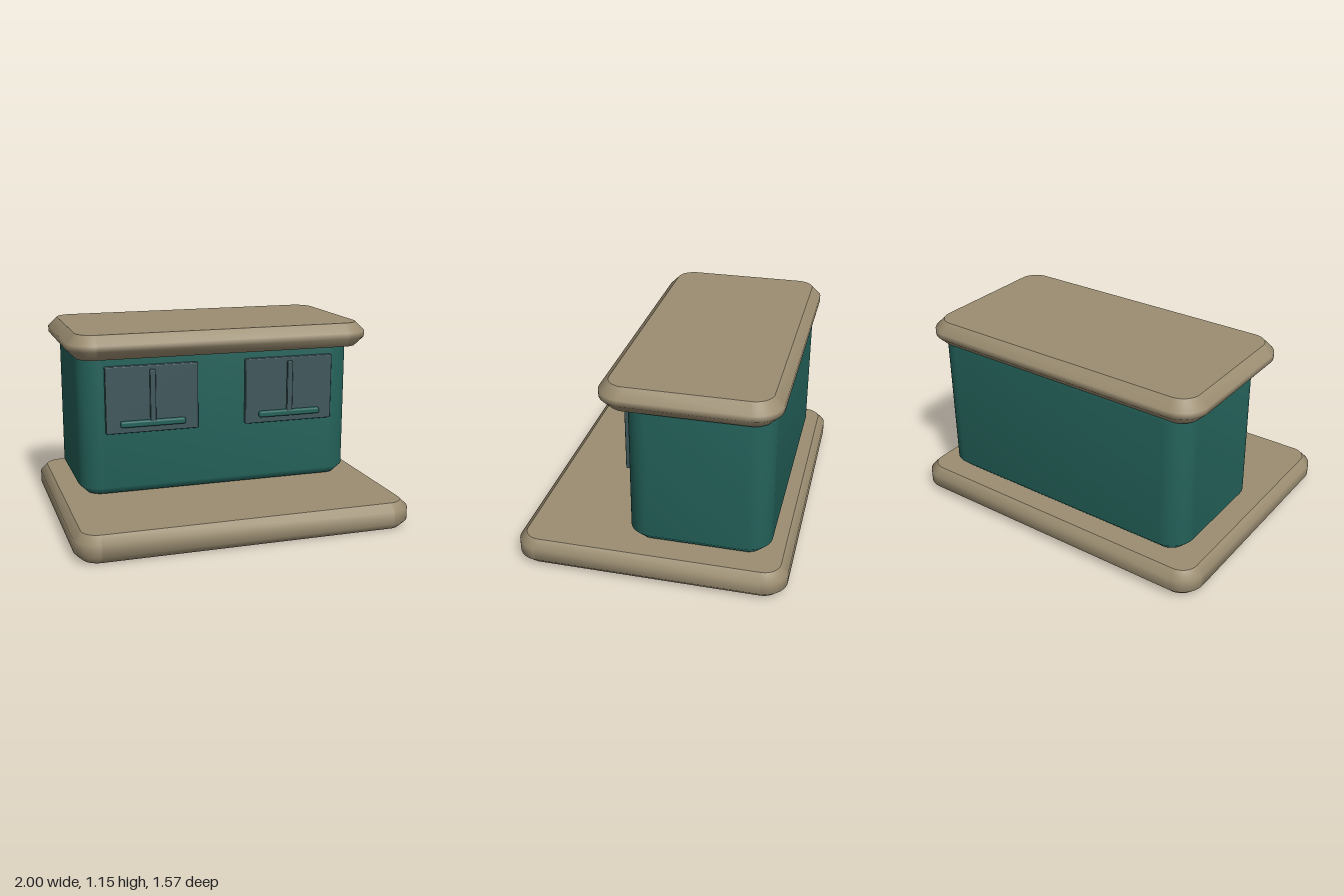
import * as THREE from 'three';
import { mergeVertices, mergeGeometries } from 'three/addons/utils/BufferGeometryUtils.js';
import { RoundedBoxGeometry } from 'three/addons/geometries/RoundedBoxGeometry.js';

const mat = (name, color) => {
  const m = new THREE.MeshStandardMaterial({ color });
  m.name = name;
  return m;
};

// Rounded rectangle outline in plan, centred on the origin
function roundedRect(w, d, r) {
  const s = new THREE.Shape();
  const x = w / 2 - r, y = d / 2 - r;
  s.absarc(x, y, r, 0, Math.PI / 2);
  s.absarc(-x, y, r, Math.PI / 2, Math.PI);
  s.absarc(-x, -y, r, Math.PI, Math.PI * 1.5);
  s.absarc(x, -y, r, Math.PI * 1.5, Math.PI * 2);
  s.closePath();
  return s;
}

// Upright slab with single-step bevels: flat lids, smoothly shaded sides
function slab(w, h, d, radius, bevel) {
  const geo = new THREE.ExtrudeGeometry(roundedRect(w - 2 * bevel, d - 2 * bevel, radius - bevel), {
    depth: h - 2 * bevel, bevelEnabled: true, bevelThickness: bevel, bevelSize: bevel,
    bevelSegments: 1, curveSegments: 8,
  });
  geo.rotateX(-Math.PI / 2).translate(0, bevel, 0);
  const pos = geo.getAttribute('position').array;
  const parts = geo.groups.map((g) => {
    const part = new THREE.BufferGeometry();
    const slice = pos.slice(g.start * 3, (g.start + g.count) * 3);
    part.setAttribute('position', new THREE.BufferAttribute(slice, 3));
    const merged = mergeVertices(part, 1e-4);
    merged.computeVertexNormals();
    return merged;
  });
  return mergeGeometries(parts);
}

export function createModel() {
  const group = new THREE.Group();
  const stone = mat('tan stone', 0x9c8e72);
  const wall = mat('teal wall', 0x24625a);
  const slate = mat('slate glass', 0x40585c);

  const add = (name, geo, material, x, y, z, parent = group) => {
    const mesh = new THREE.Mesh(geo, material);
    mesh.name = name;
    mesh.position.set(x, y, z);
    parent.add(mesh);
    return mesh;
  };

  // Base, body and roof; the body top is hidden inside the roof
  add('base', slab(2, 0.16, 1.57, 0.14, 0.043), stone, 0, 0, 0);
  add('body', slab(1.714, 0.885, 0.82, 0.14, 0.05), wall, 0, 0.17, -0.26);
  add('roof', slab(1.85, 0.145, 1.0, 0.16, 0.055), stone, 0, 1.01, -0.205);

  // Two front windows, each with an upright bar and a ledge
  for (const side of [-1, 1]) {
    const win = new THREE.Group();
    win.name = side > 0 ? 'leftWindow' : 'rightWindow';
    win.position.set(side * 0.43, 0, 0);
    group.add(win);
    add('windowPanel', new RoundedBoxGeometry(0.56, 0.4, 0.05, 2, 0.006), slate, 0, 0.755, 0.156, win);
    add('windowUpright', new RoundedBoxGeometry(0.034, 0.34, 0.04, 2, 0.006), slate, 0, 0.762, 0.18, win);
    add('windowLedge', new RoundedBoxGeometry(0.395, 0.038, 0.04, 3, 0.012), wall, 0, 0.611, 0.182, win);
  }
  return group;
}
